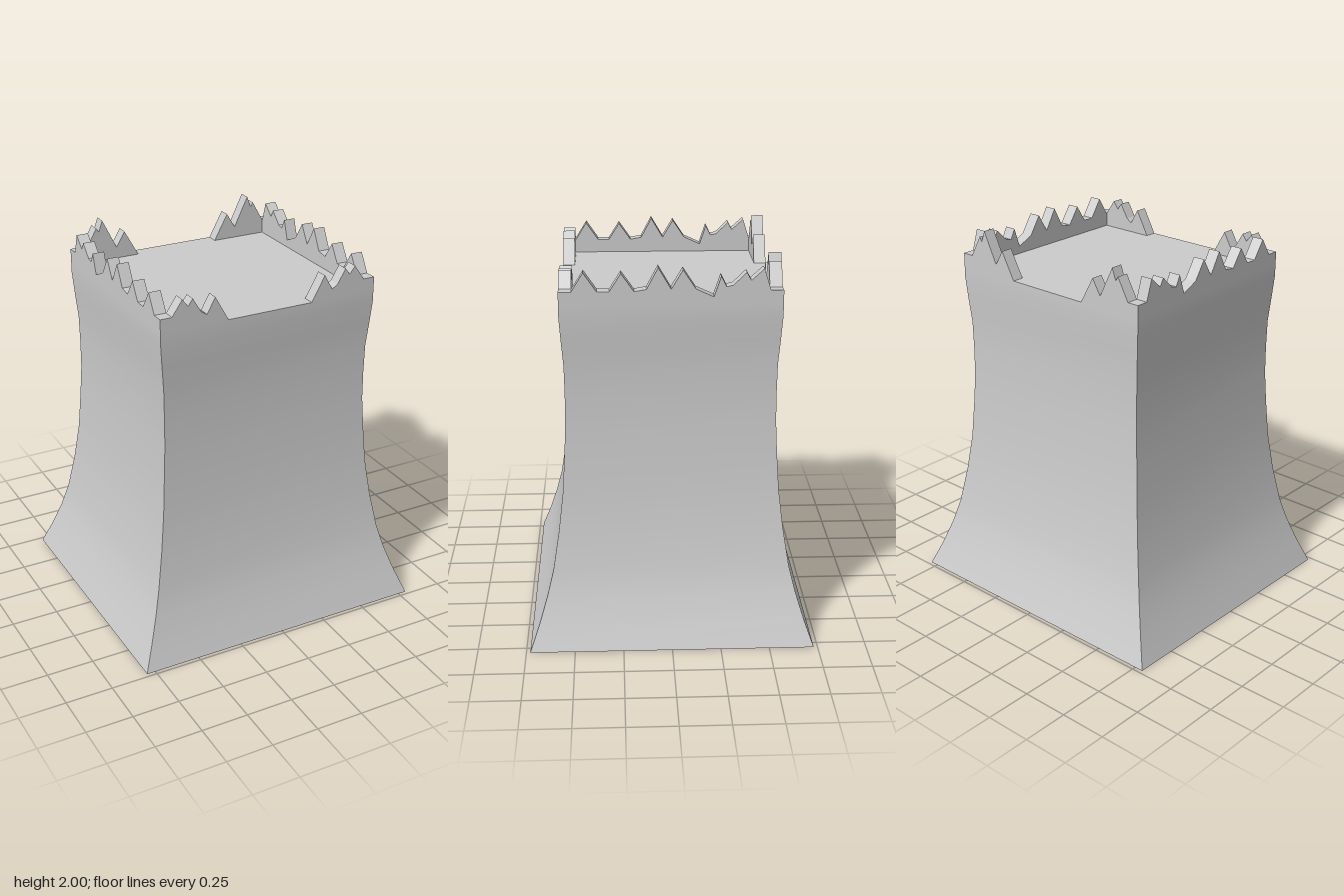
import * as THREE from 'three';

const material = new THREE.MeshStandardMaterial({ color: 0xcccccc });
const flat = new THREE.MeshStandardMaterial({ color: 0xcccccc, flatShading: true });
const DECK = 1.78, HX = 0.597, HZ = 0.547, WALL = 0.063;

// Flared tower: rectangular sections [y, half width, half depth], sharp at the corners
function towerBody() {
  const sections = [
    [0, 0.797, 0.73], [0.13, 0.745, 0.682], [0.27, 0.697, 0.638], [0.4, 0.662, 0.605],
    [0.6, 0.626, 0.573], [0.8, 0.6, 0.549], [1, 0.586, 0.536], [1.17, 0.576, 0.528],
    [1.32, 0.575, 0.527], [1.47, 0.577, 0.529], [1.6, 0.588, 0.539], [1.72, HX, HZ], [DECK, HX, HZ],
  ];
  const corners = [[-1, 1], [1, 1], [1, -1], [-1, -1]];
  const pos = [], index = [];
  const vertex = ([y, hx, hz], [sx, sz]) => pos.push(sx * hx, y, sz * hz);
  corners.forEach((a, side) => {
    const b = corners[(side + 1) % 4];
    const start = pos.length / 3;
    sections.forEach((s, i) => {
      vertex(s, a);
      vertex(s, b);
      if (i === 0) return;
      const k = start + 2 * (i - 1);
      index.push(k, k + 1, k + 3, k, k + 3, k + 2);
    });
  });
  // Deck and underside
  [sections[sections.length - 1], sections[0]].forEach((s, under) => {
    const k = pos.length / 3;
    corners.forEach((c) => vertex(s, c));
    index.push(...(under ? [k, k + 2, k + 1, k, k + 3, k + 2] : [k, k + 1, k + 2, k, k + 2, k + 3]));
  });
  const g = new THREE.BufferGeometry();
  g.setAttribute('position', new THREE.Float32BufferAttribute(pos, 3));
  g.setIndex(index);
  g.computeVertexNormals();
  return g;
}

// Broken wall: jagged top outline closed along the deck, given the wall thickness
function wallGeometry(outline) {
  const pts = [...outline];
  const first = pts[0], last = pts[pts.length - 1];
  if (last[1] > DECK) pts.push([last[0], DECK]);
  if (first[1] > DECK) pts.push([first[0], DECK]);
  const shape = new THREE.Shape(pts.map(([u, y]) => new THREE.Vector2(u, y)));
  return new THREE.ExtrudeGeometry(shape, { depth: WALL, bevelEnabled: false });
}

export function createModel() {
  const group = new THREE.Group();
  const add = (name, geometry, mat = flat) => {
    const mesh = new THREE.Mesh(geometry, mat);
    mesh.name = name;
    group.add(mesh);
  };

  add('towerBody', towerBody(), material);

  // Corner wall stubs, from the central gap out to the corner
  const frontTeeth = [
    [0.233, DECK], [0.305, 1.91], [0.35, 1.83], [0.38, 1.85], [0.425, 1.925],
    [0.45, 1.89], [0.48, 1.93], [0.535, 1.85], [HX, 1.85],
  ];
  const backTeeth = [
    [0.233, DECK], [0.31, 1.92], [0.358, 1.84], [0.436, 2], [0.458, 1.94],
    [0.472, 1.963], [0.535, 1.85], [HX, 1.85],
  ];
  for (const s of [1, -1]) {
    const side = s > 0 ? 'Left' : 'Right';
    const mirrored = (teeth) => teeth.map(([x, y]) => [s * x, y]);
    add('frontWall' + side, wallGeometry(mirrored(frontTeeth)).translate(0, 0, HZ - WALL));
    add('backWall' + side, wallGeometry(mirrored(backTeeth)).translate(0, 0, -HZ));
  }

  // Long side walls, outline running from front to back
  const sideTeeth = [
    [HZ - WALL, 1.85], [0.425, 1.945], [0.36, 1.85], [0.3, 1.85], [0.243, 1.94], [0.18, 1.85],
    [0.12, 1.86], [0.063, 1.967], [0, 1.86], [-0.057, 1.955], [-0.12, 1.86], [-0.207, 1.82],
    [-0.242, 1.923], [-0.268, 1.87], [-0.3, 1.877], [-0.365, 1.94], [-0.387, 1.9],
    [-0.45, 1.957], [-HZ + WALL, 1.85],
  ];
  for (const s of [1, -1]) {
    const g = wallGeometry(sideTeeth).rotateY(-Math.PI / 2);
    add(s > 0 ? 'sideWallLeft' : 'sideWallRight', g.translate(s > 0 ? HX : -HX + WALL, 0, 0));
  }
  return group;
}
